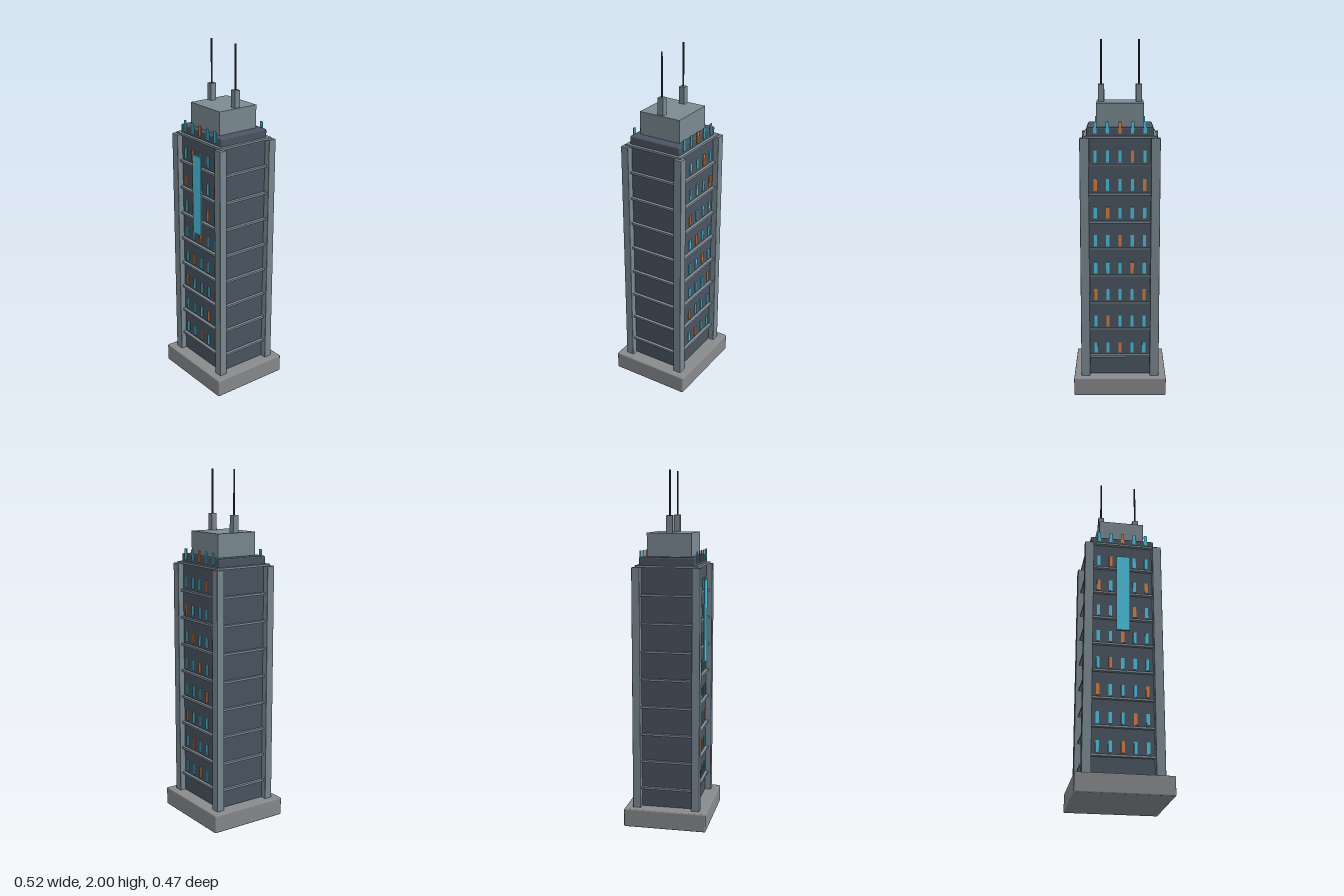
import * as THREE from 'three';
import { RoundedBoxGeometry } from 'three/addons/geometries/RoundedBoxGeometry.js';

const paint = (color) => new THREE.MeshStandardMaterial({ color });
const concrete = paint(0x888a8c);
const wall = paint(0x4a5562);
const steel = paint(0x7b8a93);
const mastDark = paint(0x343c42);
const cyan = paint(0x4ec3e0);
const orange = paint(0xd98040);

export function createModel() {
  const model = new THREE.Group();

  const add = (name, geometry, material, x, y, z) => {
    const mesh = new THREE.Mesh(geometry, material);
    mesh.name = name;
    mesh.position.set(x, y, z);
    model.add(mesh);
  };
  // Box given by its width, depth and bottom/top heights; optional rounding
  const block = (name, material, w, d, y0, y1, x = 0, z = 0, r = 0) => {
    const h = y1 - y0;
    const geometry = r ? new RoundedBoxGeometry(w, h, d, 3, r) : new THREE.BoxGeometry(w, h, d);
    add(name, geometry, material, x, (y0 + y1) / 2, z);
  };

  // Main masses
  block('base', concrete, 0.524, 0.472, 0, 0.105, 0, 0, 0.007);
  block('tower', wall, 0.37, 0.316, 0.1, 1.53, 0, 0, 0.008);
  block('penthouse', steel, 0.262, 0.25, 1.525, 1.66);

  // Corner pillars
  for (const sx of [-1, 1])
    for (const sz of [-1, 1])
      block('cornerPillar', steel, 0.051, 0.046, 0.1, 1.475, sx * 0.196, sz * 0.169, 0.003);

  // Floor bands and window rows, front and back
  const pitch = 0.158;
  const pane = new THREE.BoxGeometry(0.018, 0.065, 0.006);
  for (let row = 0; row < 9; row++) {
    const y = 0.215 + row * pitch;
    block('floorBand', steel, 0.406, 0.352, y - 0.006, y + 0.006);
    for (let col = 0; col < 5; col++) {
      const lit = (col - row + 10) % 4 === 0;
      for (const side of [-1, 1])
        add('window', pane, lit ? orange : cyan, (col - 2) * 0.0685, 0.265 + row * pitch, side * 0.16);
    }
  }

  // Vertical sign panel on the front
  block('signPanel', cyan, 0.076, 0.007, 0.93, 1.395, 0, 0.183);

  // Roof antennas
  for (const sx of [-1, 1]) {
    block('antennaMount', steel, 0.034, 0.034, 1.655, 1.755, sx * 0.105);
    add('antennaMast', new THREE.CylinderGeometry(0.005, 0.005, 0.25, 12), mastDark, sx * 0.105, 1.875, 0);
  }

  return model;
}
